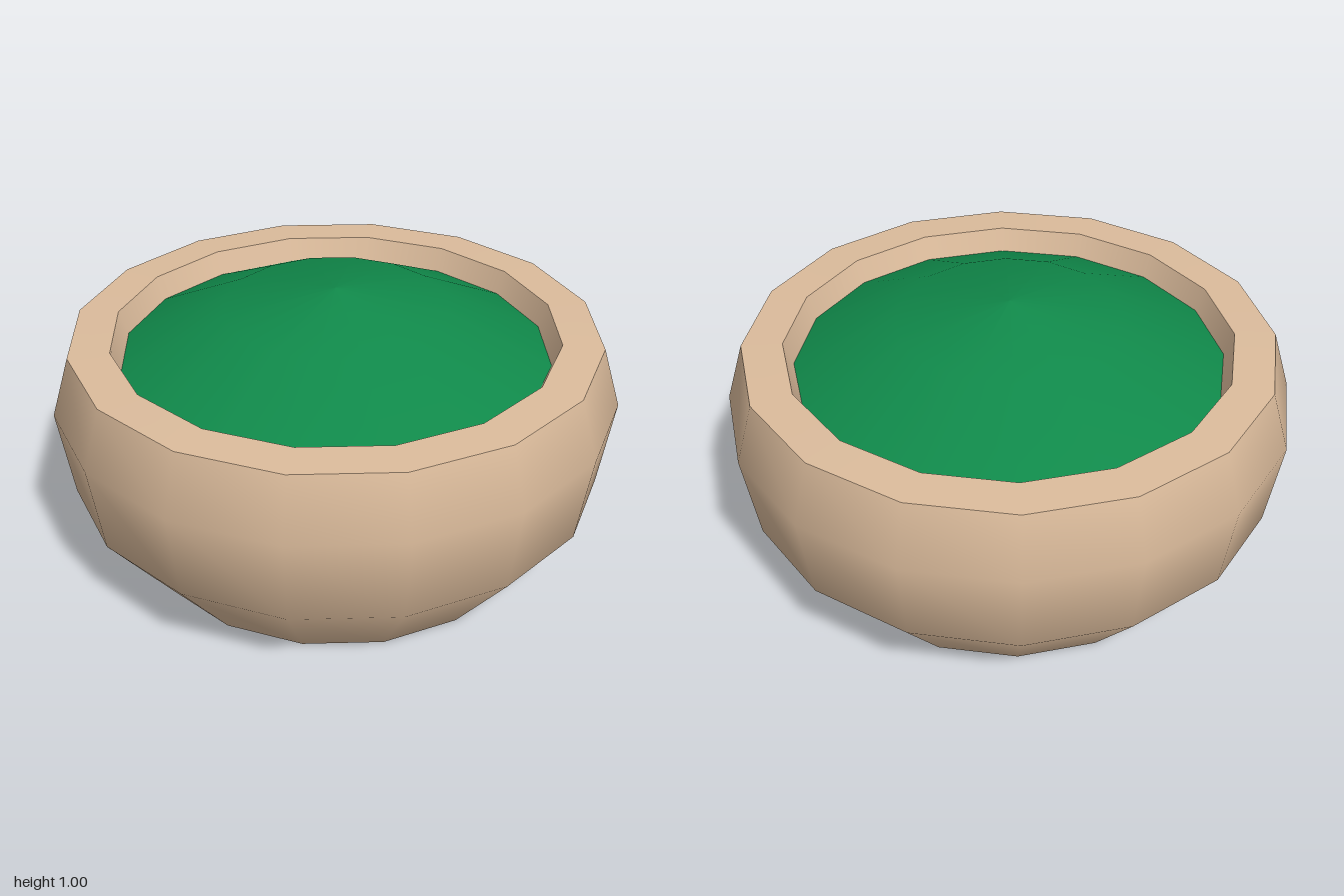
import * as THREE from 'three';

const SIDES = 16;

// Revolve a profile of [radius, height] points around the y axis.
function lathe(name, profile, material) {
  const points = profile.map(([r, y]) => new THREE.Vector2(r, y));
  const mesh = new THREE.Mesh(new THREE.LatheGeometry(points, SIDES), material);
  mesh.name = name;
  return mesh;
}

export function createModel() {
  const clay = new THREE.MeshStandardMaterial({ color: 0xdcbc9c });
  clay.name = 'clay';
  const green = new THREE.MeshStandardMaterial({ color: 0x10894a });
  green.name = 'green';

  const model = new THREE.Group();
  model.name = 'filledBowl';

  // Bowl: separate surfaces keep the rim and base edges sharp
  const bowl = new THREE.Group();
  bowl.name = 'bowl';
  bowl.add(
    lathe('bowlBase', [[0, 0], [0.71, 0]], clay),
    lathe('bowlOuterWall', [[0.71, 0], [0.95, 0.3], [1, 0.62], [0.935, 0.835]], clay),
    lathe('bowlRim', [[0.935, 0.835], [0.79, 0.84]], clay),
    lathe('bowlInnerWall', [[0.79, 0.84], [0.745, 0.72]], clay)
  );
  model.add(bowl);

  // Domed filling, its edge tucked into the inner wall
  model.add(lathe('filling', [[0.77, 0.75], [0.4, 0.93], [0, 0.997]], green));

  return model;
}
